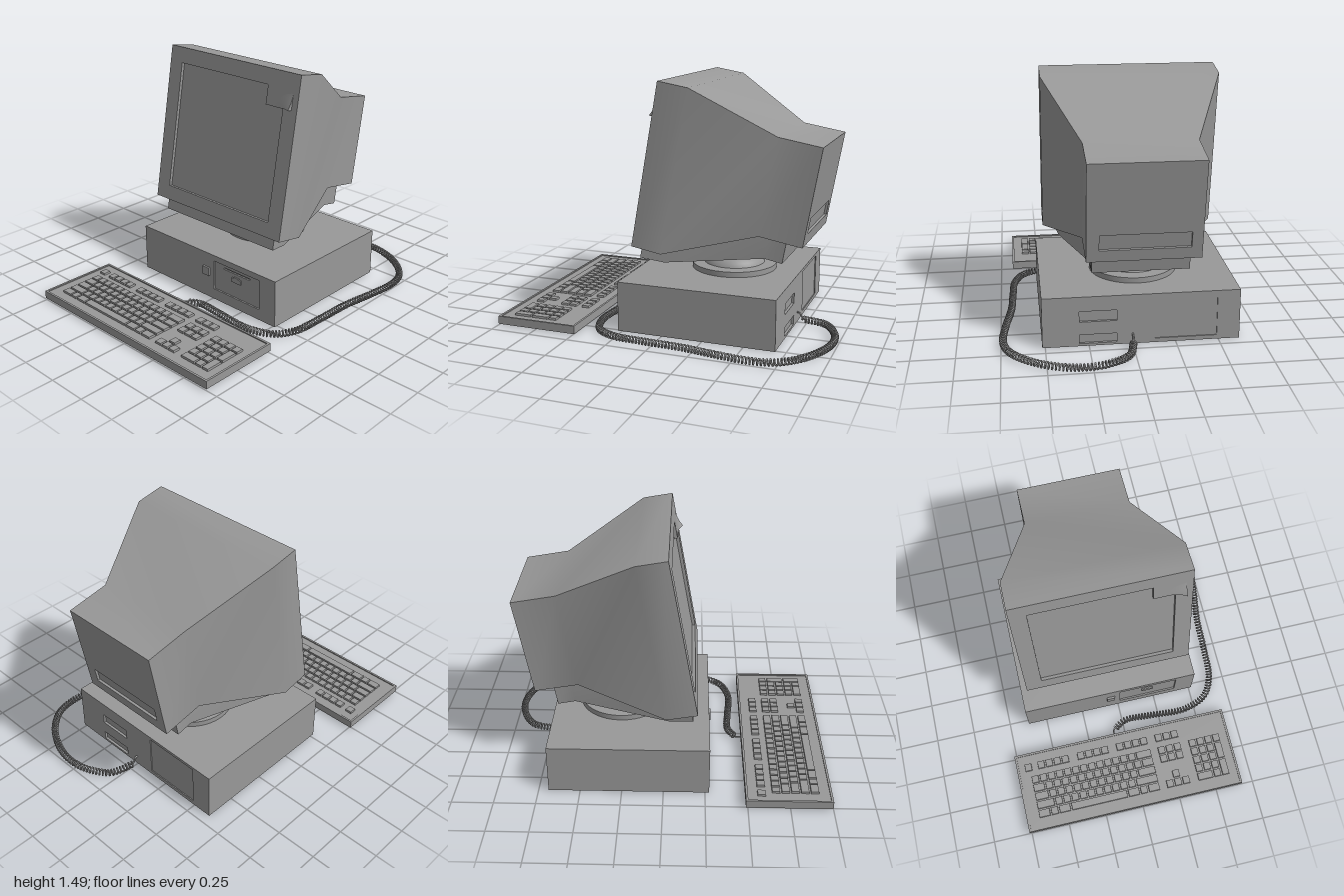
import * as THREE from 'three';
import { mergeGeometries, toCreasedNormals } from 'three/addons/utils/BufferGeometryUtils.js';

const grey = new THREE.MeshStandardMaterial({ color: 0x999999 });
const CX = -0.051; // centre line of monitor and stand

function add(parent, name, geometry, x = 0, y = 0, z = 0) {
  const mesh = new THREE.Mesh(geometry, grey);
  mesh.name = name;
  mesh.position.set(x, y, z);
  parent.add(mesh);
}

// Box given by its limits
function box(x0, x1, y0, y1, z0, z1) {
  return new THREE.BoxGeometry(x1 - x0, y1 - y0, z1 - z0)
    .translate((x0 + x1) / 2, (y0 + y1) / 2, (z0 + z1) / 2);
}

const rect = (x0, x1, y0, y1) => [[x0, y0], [x1, y0], [x1, y1], [x0, y1]];
const toVectors = (points) => points.map(([x, y]) => new THREE.Vector2(x, y));

// Flat plate with holes, reaching from z0 to z1
function plate(outline, holes, z0, z1) {
  const shape = new THREE.Shape(toVectors(outline));
  for (const hole of holes) shape.holes.push(new THREE.Path(toVectors(hole)));
  return new THREE.ExtrudeGeometry(shape, { depth: z1 - z0, bevelEnabled: false }).translate(0, 0, z0);
}

// Loft through rectangles [z, half width, bottom, top], front to back, soft over shallow bends
function loft(sections) {
  const positions = [], index = [];
  sections.forEach(([z, w, y0, y1], s) => {
    positions.push(-w, y0, z, w, y0, z, w, y1, z, -w, y1, z);
    if (s === 0) return;
    for (let i = 0; i < 4; i++) {
      const j = (i + 1) % 4, f = (s - 1) * 4, b = s * 4;
      index.push(f + i, b + i, b + j, f + i, b + j, f + j);
    }
  });
  const n = (sections.length - 1) * 4;
  index.push(0, 1, 2, 0, 2, 3, n, n + 2, n + 1, n, n + 3, n + 2);
  const geometry = new THREE.BufferGeometry();
  geometry.setAttribute('position', new THREE.Float32BufferAttribute(positions, 3));
  geometry.setIndex(index);
  return toCreasedNormals(geometry, 0.6);
}

// Slab whose front rises smoothly towards its lower right corner
function cornerCurl(x0, x1, y0, y1, rise) {
  const geometry = box(x0, x1, y0, y1, -0.015, -0.0006);
  const slab = new THREE.BoxGeometry(x1 - x0, y1 - y0, 0.0144, 12, 10, 1);
  slab.translate((x0 + x1) / 2, (y0 + y1) / 2, -0.0078);
  geometry.dispose();
  const p = slab.attributes.position;
  for (let i = 0; i < p.count; i++) {
    if (p.getZ(i) < -0.007) continue;
    const u = (p.getX(i) - x0) / (x1 - x0), t = (p.getY(i) - y0) / (y1 - y0);
    p.setZ(i, p.getZ(i) + rise * u ** 4 * (1 - t) ** 2);
  }
  return toCreasedNormals(slab, 0.7);
}

function createMonitor() {
  const monitor = new THREE.Group();
  monitor.name = 'monitor';
  monitor.position.set(CX, 0.521, 0.2);
  monitor.rotation.x = -THREE.MathUtils.degToRad(10);

  // Housing; its front cap is the recessed screen
  add(monitor, 'housing', loft([
    [-0.02, 0.527, 0, 0.985], [-0.185, 0.527, 0, 0.985],
    [-0.69, 0.322, 0.195, 0.79], [-0.939, 0.322, 0.195, 0.79],
  ]));
  const opening = [[-0.424, 0.091], [0.424, 0.091], [0.424, 0.772], [0.294, 0.772], [0.294, 0.888], [-0.424, 0.888]];
  add(monitor, 'bezel', plate(rect(-0.527, 0.527, 0, 0.985), [opening], -0.02, 0));
  add(monitor, 'rearPanel', plate(rect(-0.322, 0.322, 0.195, 0.79), [rect(-0.26, 0.25, 0.265, 0.36)], -0.954, -0.939));
  add(monitor, 'bezelCornerCurl', cornerCurl(0.296, 0.487, 0.775, 0.886, 0.033));

  // Tray under the housing
  add(monitor, 'tray', loft([
    [-0.04, 0.457, -0.079, 0.02], [-0.182, 0.425, -0.08, 0.03],
    [-0.74, 0.28, 0.06, 0.22], [-0.848, 0.28, 0.058, 0.21],
  ]));
  return monitor;
}

function createStand() {
  const stand = new THREE.Group();
  stand.name = 'swivelStand';
  const profile = [[0, 0.302], [0.262, 0.302], [0.262, 0.339], [0.188, 0.341], [0.178, 0.365], [0.153, 0.387],
    [0.12, 0.403], [0.09, 0.409], [0.1, 0.416], [0.125, 0.436], [0.125, 0.472], [0, 0.472]];
  add(stand, 'swivelBase', toCreasedNormals(new THREE.LatheGeometry(toVectors(profile), 40), 0.6), CX, 0, -0.27);
  return stand;
}

function createCase() {
  const unit = new THREE.Group();
  unit.name = 'computerCase';
  const face = rect(-0.623, 0.517, 0.003, 0.306);
  add(unit, 'caseBody', box(-0.623, 0.517, 0.003, 0.306, -0.675, 0.255));

  // Front with the drive bay, its slot and latch, and the power button
  const bay = rect(0.012, 0.392, 0.073, 0.268);
  add(unit, 'frontPanel', plate(face, [bay], 0.255, 0.275));
  add(unit, 'driveFace', plate(bay, [rect(0.092, 0.307, 0.234, 0.245)], 0.255, 0.265));
  add(unit, 'driveLatch', box(0.162, 0.237, 0.178, 0.207, 0.255, 0.274));
  add(unit, 'driveLatchTab', box(0.18, 0.219, 0.207, 0.214, 0.255, 0.274));
  add(unit, 'powerButton', box(-0.077, -0.024, 0.155, 0.21, 0.27, 0.288));

  // Back with connector recesses and a large panel
  add(unit, 'backPanel', plate(face, [
    rect(0.09, 0.305, 0.152, 0.217), rect(0.09, 0.305, 0.018, 0.073), rect(-0.49, -0.13, 0.028, 0.287),
  ], -0.69, -0.675));
  add(unit, 'largeBackPanel', box(-0.49, -0.13, 0.028, 0.287, -0.684, -0.675));
  return unit;
}

function createKeyboard() {
  const keyboard = new THREE.Group();
  keyboard.name = 'keyboard';
  const [x0, x1, z0, z1] = [-0.763, 0.673, 0.488, 0.999];
  const inset = (d) => rect(x0 + d, x1 - d, -z1 + d, -z0 - d);
  const flat = (outline, holes, y0, y1) => plate(outline, holes, y0, y1).rotateX(-Math.PI / 2);

  // Hollow body, open below
  add(keyboard, 'keyboardRim', flat(inset(0), [inset(0.013)], 0.008, 0.057));
  add(keyboard, 'keyboardLowerFrame', flat(inset(0.013), [inset(0.05)], 0.008, 0.05));
  add(keyboard, 'keyboardTop', flat(inset(0.05), [], 0.038, 0.05));

  const unit = 0.0547, pitch = 0.0575;
  let keys = [];
  // Key cap with sides leaning in towards the top
  const key = (left, right, back, front) => {
    const cap = new THREE.BoxGeometry(right - left, 0.036, front - back);
    const p = cap.attributes.position;
    for (let i = 0; i < p.count; i++) {
      if (p.getY(i) < 0) continue;
      p.setX(i, p.getX(i) - Math.sign(p.getX(i)) * 0.004);
      p.setZ(i, p.getZ(i) - Math.sign(p.getZ(i)) * 0.004);
    }
    cap.computeVertexNormals();
    return cap.translate((left + right) / 2, 0.045, (back + front) / 2);
  };
  // One row of keys with widths in units; deep is the number of rows covered
  const row = (x, z, widths, deep = 1) => {
    for (const w of widths) {
      keys.push(key(x + 0.002, x + w * unit - 0.002, z + 0.002, z + deep * pitch - 0.002));
      x += w * unit;
    }
  };
  const finish = (name) => {
    add(keyboard, name, mergeGeometries(keys));
    keys = [];
  };
  const ones = (n) => Array(n).fill(1);
  const rowZ = (r) => 0.64 + r * pitch;

  row(-0.713, 0.553, [1]);
  for (const x of [-0.626, -0.356, -0.088]) row(x, 0.553, ones(4));
  row(0.179, 0.553, ones(3));
  finish('functionKeys');

  const layout = [[...ones(13), 2], [1.5, ...ones(12), 1.5], [1.75, ...ones(11), 2.25],
    [2.25, ...ones(10), 2.75], [1.5, 1, 1.5, 7, 1.5, 1, 1.5]];
  layout.forEach((widths, r) => row(-0.683, rowZ(r), widths));
  finish('mainKeys');

  for (const r of [0, 1, 4]) row(0.179, rowZ(r), ones(3));
  row(0.179 + unit, rowZ(3), [1]);
  finish('cursorKeys');

  row(0.392, rowZ(0), ones(4));
  for (const r of [1, 2, 3]) row(0.392, rowZ(r), ones(3));
  row(0.392, rowZ(4), [2, 1]);
  for (const r of [1, 3]) row(0.392 + 3 * unit, rowZ(r), [1], 2);
  finish('numberKeys');
  return keyboard;
}

// Helix wound around a path lying near the ground
class CoilCurve extends THREE.Curve {
  constructor(path, turns, radius) {
    super();
    Object.assign(this, { path, turns, radius, arcLengthDivisions: 3000 });
  }
  getPoint(t, target = new THREE.Vector3()) {
    const u = Math.min(Math.max(t, 0), 1), a = u * this.turns * Math.PI * 2;
    const up = new THREE.Vector3(0, 1, 0);
    const side = this.path.getTangentAt(u).cross(up).normalize();
    return target.copy(this.path.getPointAt(u))
      .addScaledVector(side, Math.cos(a) * this.radius).addScaledVector(up, Math.sin(a) * this.radius);
  }
}

function createCord() {
  const cord = new THREE.Group();
  cord.name = 'cord';
  const route = [[0, -0.73], [0.04, -0.87], [0.16, -0.95], [0.3, -0.977], [0.45, -0.95], [0.61, -0.86],
    [0.71, -0.74], [0.738, -0.61], [0.72, -0.42], [0.685, -0.19], [0.675, 0.03], [0.655, 0.24],
    [0.585, 0.36], [0.43, 0.42], [0.19, 0.41], [0.02, 0.405], [-0.055, 0.445]];
  const path = new THREE.CatmullRomCurve3(route.map(([x, z]) => new THREE.Vector3(x, 0.024, z)));
  add(cord, 'coiledCord', new THREE.TubeGeometry(new CoilCurve(path, 132, 0.018), 1450, 0.0055, 5));

  // Straight ends into the case and the keyboard
  const end = (name, points) => add(cord, name, new THREE.TubeGeometry(
    new THREE.CatmullRomCurve3(points.map((p) => new THREE.Vector3(...p))), 10, 0.0055, 6));
  end('caseEnd', [[0, 0.066, -0.68], [0, 0.061, -0.705], [0, 0.031, -0.725], [0.01, 0.024, -0.745]]);
  end('keyboardEnd', [[-0.05, 0.024, 0.435], [-0.071, 0.026, 0.455], [-0.077, 0.029, 0.495]]);
  return cord;
}

export function createModel() {
  const model = new THREE.Group();
  model.name = 'desktopComputer';
  model.add(createMonitor(), createStand(), createCase(), createKeyboard(), createCord());
  return model;
}
